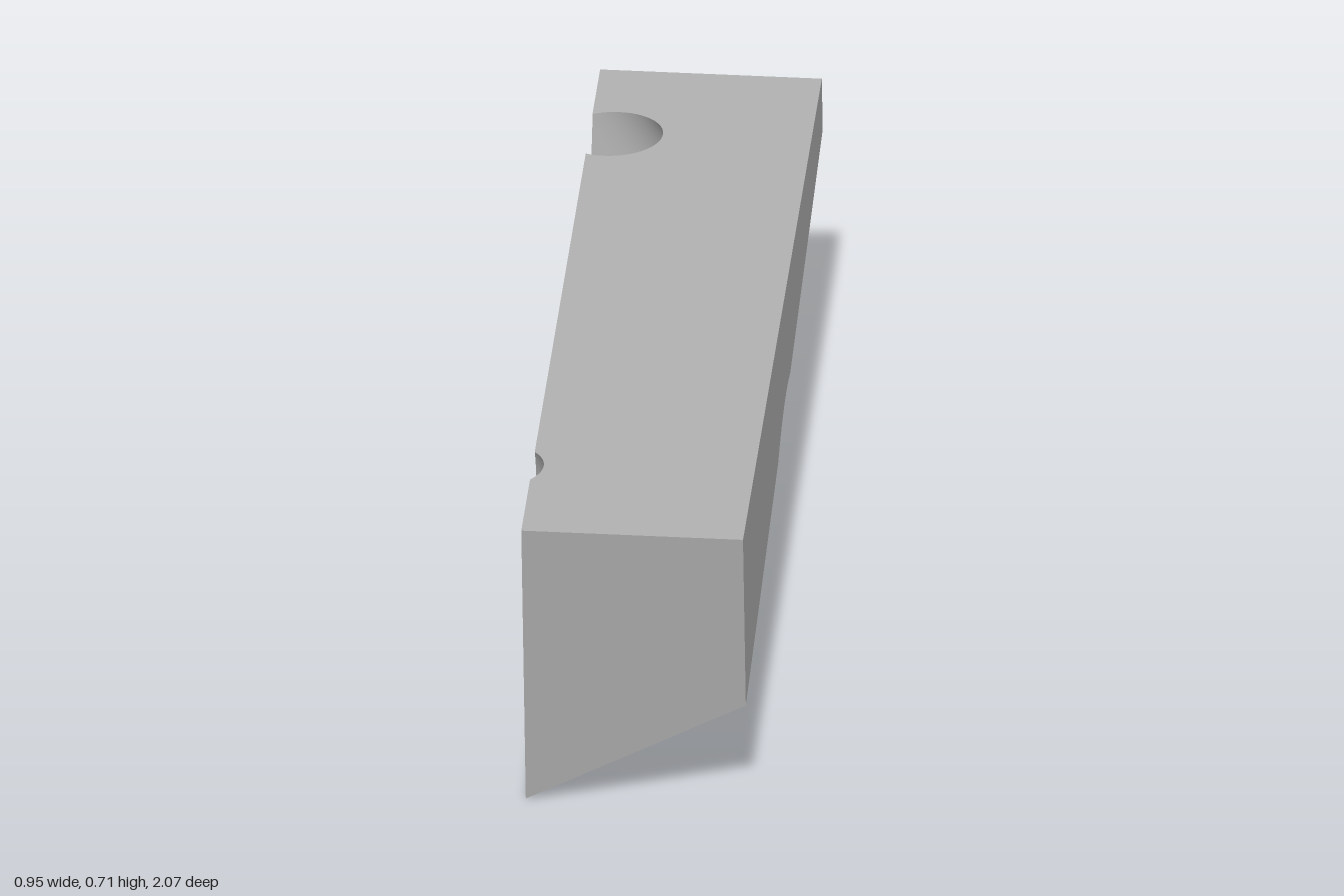
import * as THREE from 'three';

// Local frame: u across the sloped underside, v along it, h square to it
const TILT = Math.atan(0.617), TURN = 17.3 * Math.PI / 180;
const W = 0.269, L = 0.9636;           // half width and half length of the underside
const R = 0.308, DROP = 0.308;         // dish rim radius, sphere centre below the underside
const HOLE_R = 0.092, HOLE_V = 0.698;  // screw holes
const TOP_Y = 0.705;

const sT = Math.sin(TILT), cT = Math.cos(TILT), sF = Math.sin(TURN), cF = Math.cos(TURN);
const MID_Y = (W * cF + L * sF) * sT;
const U = new THREE.Vector3(cF * cT, cF * sT, sF);
const V = new THREE.Vector3(sF * cT, sF * sT, -cF);
const N = new THREE.Vector3(-sT, cT, 0);
const P = (u, v, h = 0) => new THREE.Vector3(0, MID_Y, 0)
  .addScaledVector(U, u).addScaledVector(V, v).addScaledVector(N, h);

const H = TOP_Y - MID_Y;
const K = U.y / N.y;                   // lean of the upright walls in the local frame
const Q = Math.sqrt(R * R - W * W);    // half length of the dish notch in each long edge
const G = Math.atan2(Q, W);

const range = (a, b, n) => Array.from({ length: n + 1 }, (_, i) => a + (b - a) * i / n);

// Point where a long wall (side -1 or 1) meets the top
function topEdge(side, v) {
  const h = (H - V.y * v - U.y * side * W) / (N.y + U.y * K);
  return P(side * W + K * h, v, h);
}

// Height at which the dish breaks through a long wall
function dishHeight(side, v) {
  const a = 1 + K * K, b = side * W * K + DROP, c = Math.min(0, W * W - R * R + v * v);
  return (-b + Math.sqrt(b * b - a * c)) / a;
}
const dishNotch = (side) => range(-Q, Q, 32).map((v) => {
  const h = dishHeight(side, v);
  return P(side * W + K * h, v, h);
});

// Screw hole: leaves partly through the top and partly through the long wall
function makeHole(v0) {
  const A = HOLE_R * (N.y / K + U.y), B = HOLE_R * V.y;
  const C = H - V.y * v0 - W * N.y / K;
  const m = Math.atan2(B, A), s = Math.acos(C / Math.hypot(A, B));
  const at = (a, f) => {
    const u = HOLE_R * Math.cos(a), v = v0 + HOLE_R * Math.sin(a);
    const exit = Math.min((H - U.y * u - V.y * v) / N.y, (u + W) / K);
    return P(u, v, f * exit);
  };
  const topAngles = range(m - s, m + s, 32);
  const wallAngles = range(m + s, m - s + 2 * Math.PI, 32);
  return {
    at,
    angles: [...topAngles, ...wallAngles.slice(1)],
    topArc: topAngles.map((a) => at(a, 1)),
    wallArc: wallAngles.map((a) => at(a, 1)),
  };
}

// Flat face from a loop listed counter-clockwise as seen from outside
function flat(loop, hole) {
  const o = loop[0];
  const e1 = loop[1].clone().sub(o).normalize();
  const n = e1.clone().cross(loop[loop.length - 1].clone().sub(o)).normalize();
  const e2 = n.clone().cross(e1);
  const to2 = (p) => {
    const d = p.clone().sub(o);
    return new THREE.Vector2(d.dot(e1), d.dot(e2));
  };
  const shape = new THREE.Shape(loop.map(to2));
  if (hole) shape.holes.push(new THREE.Path(hole.map(to2)));
  return new THREE.ShapeGeometry(shape)
    .applyMatrix4(new THREE.Matrix4().makeBasis(e1, e2, n).setPosition(o));
}

// Smooth skin through rows of points
function skin(rows) {
  const n = rows[0].length, index = [];
  for (let i = 0; i < rows.length - 1; i++) {
    for (let j = 0; j < n - 1; j++) {
      const a = i * n + j, b = a + n;
      index.push(a, b, a + 1, b, b + 1, a + 1);
    }
  }
  const g = new THREE.BufferGeometry().setFromPoints(rows.flat());
  g.setIndex(index);
  g.computeVertexNormals();
  return g;
}

// Spherical dish, clipped by the two long walls
function dish() {
  const S2 = R * R + DROP * DROP;
  const vs = [
    ...range(-Math.PI / 2, -G, 16).map((a) => R * Math.sin(a)),
    ...range(-Q, Q, 32).slice(1, -1),
    ...range(G, Math.PI / 2, 16).map((a) => R * Math.sin(a)),
  ];
  return skin(vs.map((v) => {
    const rho = Math.sqrt(S2 - v * v);
    const limit = (side) => {
      if (Math.abs(v) < Q - 1e-9) {
        const h = dishHeight(side, v);
        return Math.atan2(side * W + K * h, h + DROP);
      }
      return Math.atan2(side * Math.sqrt(Math.max(0, R * R - v * v)), DROP);
    };
    return range(limit(-1), limit(1), 32)
      .map((b) => P(rho * Math.sin(b), v, rho * Math.cos(b) - DROP));
  }));
}

export function createModel() {
  const group = new THREE.Group();
  group.name = 'wedgeBlock';
  const grey = new THREE.MeshStandardMaterial({ color: 0xb0b0b0 });
  grey.name = 'plain grey';
  const add = (name, geometry) => {
    const mesh = new THREE.Mesh(geometry, grey);
    mesh.name = name;
    group.add(mesh);
  };

  const holes = [makeHole(-HOLE_V), makeHole(HOLE_V)];
  const [low, high] = holes;

  // Level top with the two hole notches
  add('top', flat([
    topEdge(1, -L), topEdge(1, L), topEdge(-1, L),
    ...high.topArc.slice().reverse(), ...low.topArc.slice().reverse(), topEdge(-1, -L),
  ]));

  // Upright long walls
  add('rightWall', flat([
    P(-W, -L), topEdge(-1, -L),
    ...low.wallArc.slice().reverse(), ...high.wallArc.slice().reverse(),
    topEdge(-1, L), P(-W, L), ...dishNotch(-1).reverse(),
  ]));
  add('leftWall', flat([P(W, -L), ...dishNotch(1), P(W, L), topEdge(1, L), topEdge(1, -L)]));

  // Upright ends
  add('frontEnd', flat([P(-W, -L), P(W, -L), topEdge(1, -L), topEdge(-1, -L)]));
  add('backEnd', flat([P(W, L), P(-W, L), topEdge(-1, L), topEdge(1, L)]));

  // Sloped underside, in two halves parted by the dish, and the hole bores
  holes.forEach((hole, i) => {
    const s = i ? -1 : 1;
    const rim = range(-Math.PI + G, -G, 32)
      .map((a) => P(s * R * Math.cos(a), s * R * Math.sin(a)));
    add(i ? 'backUnderside' : 'frontUnderside', flat(
      [P(-s * W, -s * L), ...rim, P(s * W, -s * L)],
      hole.angles.slice(0, -1).map((a) => hole.at(a, 0)),
    ));
    add(i ? 'backScrewHole' : 'frontScrewHole',
      skin([0, 1].map((f) => hole.angles.map((a) => hole.at(a, f)))));
  });

  add('dish', dish());
  return group;
}
